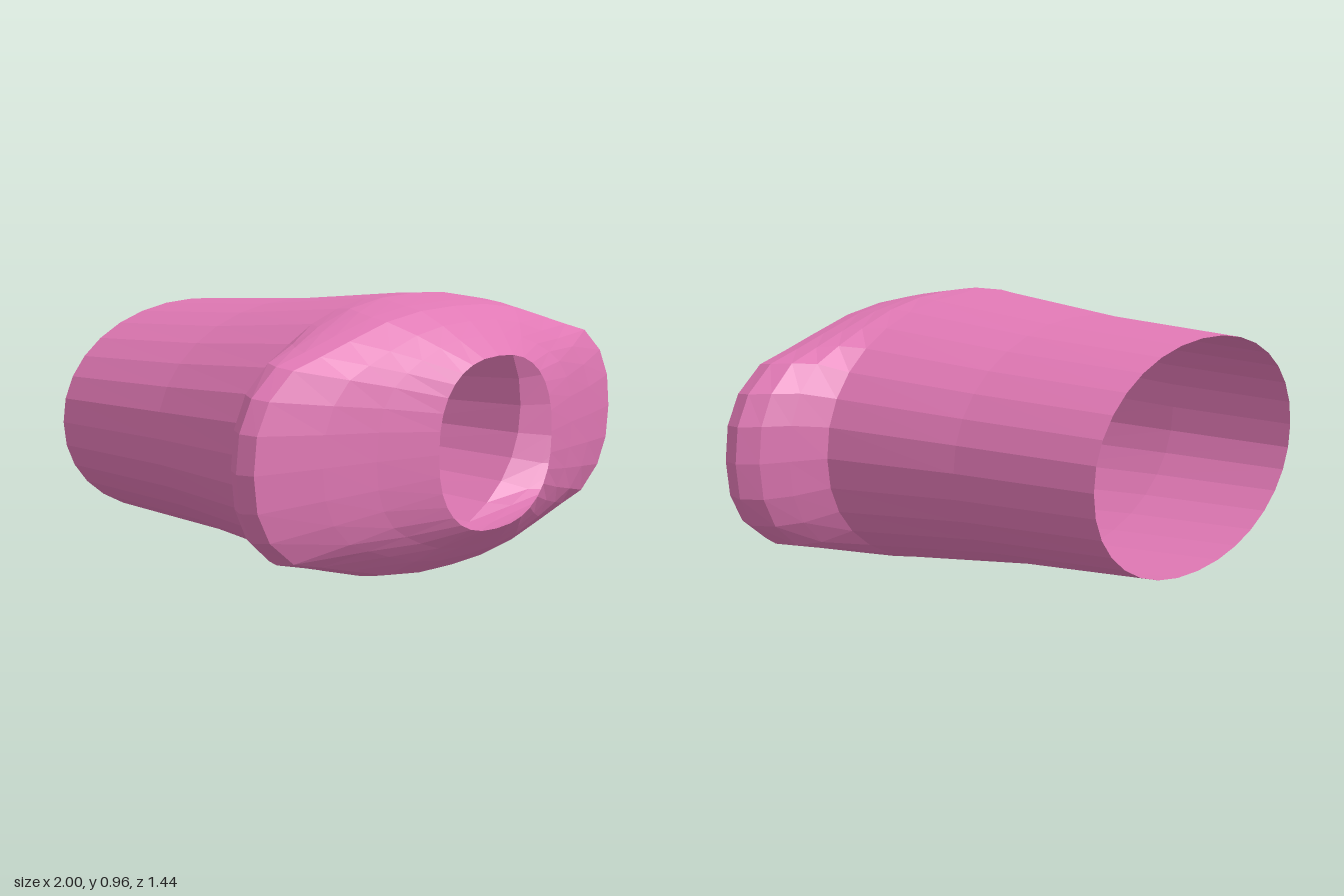
import * as THREE from 'three';

const CENTRE_Y = 0.485;
const QUARTER = 8; // segments per quarter ring

// quarter outline of the widest ring, from the side lobe to the crown (full width 1, height 0.45)
const LOBE = [[1, 0], [0.985, 0.12], [0.93, 0.22], [0.82, 0.305], [0.69, 0.337],
  [0.55, 0.374], [0.36, 0.422], [0.18, 0.445], [0, 0.45]];

// z, half width, half height, lobe amount, squareness
const RINGS = [
  [-0.72, 0.655, 0.402, 0, 2.1],
  [-0.2, 0.69, 0.43, 0, 2.1],
  [0.28, 0.76, 0.478, 0, 2.15],
  [0.35, 0.87, 0.481, 0.65, 2.15],
  [0.405, 0.955, 0.472, 0.9, 2.15],
  [0.47, 1.0, 0.46, 1, 2.2],
  [0.53, 0.985, 0.447, 1, 2.2],
  [0.6, 0.75, 0.4, 0.7, 2.3],
  [0.65, 0.55, 0.355, 0.4, 2.4],
  [0.72, 0.32, 0.293, 0, 2.4],
];

// quarter of a ring: a rounded oval blended towards the lobed outline
function quarterRing(w, h, lobe, n) {
  return LOBE.map(([lx, ly], i) => {
    const t = (i / QUARTER) * Math.PI / 2;
    const ox = Math.max(0, Math.cos(t)) ** (2 / n);
    const oy = Math.sin(t) ** (2 / n);
    return [w * THREE.MathUtils.lerp(ox, lx, lobe), h * THREE.MathUtils.lerp(oy, ly / 0.45, lobe)];
  });
}

// mirror the quarter into a full counter-clockwise ring
function fullRing([z, w, h, lobe, n]) {
  const q = quarterRing(w, h, lobe, n);
  const ring = [];
  for (let j = 0; j < QUARTER * 4; j++) {
    const k = j % (QUARTER * 2);
    const [x, y] = q[k <= QUARTER ? k : QUARTER * 2 - k];
    const sx = j > QUARTER && j < QUARTER * 3 ? -1 : 1;
    const sy = j > QUARTER * 2 ? -1 : 1;
    ring.push([x * sx, CENTRE_Y + y * sy, z]);
  }
  return ring;
}

function loft(rings) {
  const count = rings[0].length;
  const index = [];
  for (let i = 0; i < rings.length - 1; i++) {
    for (let j = 0; j < count; j++) {
      const k = (j + 1) % count;
      const a = i * count + j, b = i * count + k;
      index.push(a, b, b + count, a, b + count, a + count);
    }
  }
  const geometry = new THREE.BufferGeometry();
  geometry.setAttribute('position', new THREE.Float32BufferAttribute(rings.flat(2), 3));
  geometry.setIndex(index);
  geometry.computeVertexNormals();
  return geometry;
}

export function createModel() {
  const group = new THREE.Group();
  group.name = 'sleeve';
  const pink = new THREE.MeshStandardMaterial({
    name: 'pink', color: 0xe078b4, flatShading: true, side: THREE.DoubleSide,
  });

  // open shell: rear tube, side lobes and tapered front collar
  const shell = new THREE.Mesh(loft(RINGS.map(fullRing)), pink);
  shell.name = 'shell';
  group.add(shell);
  return group;
}
